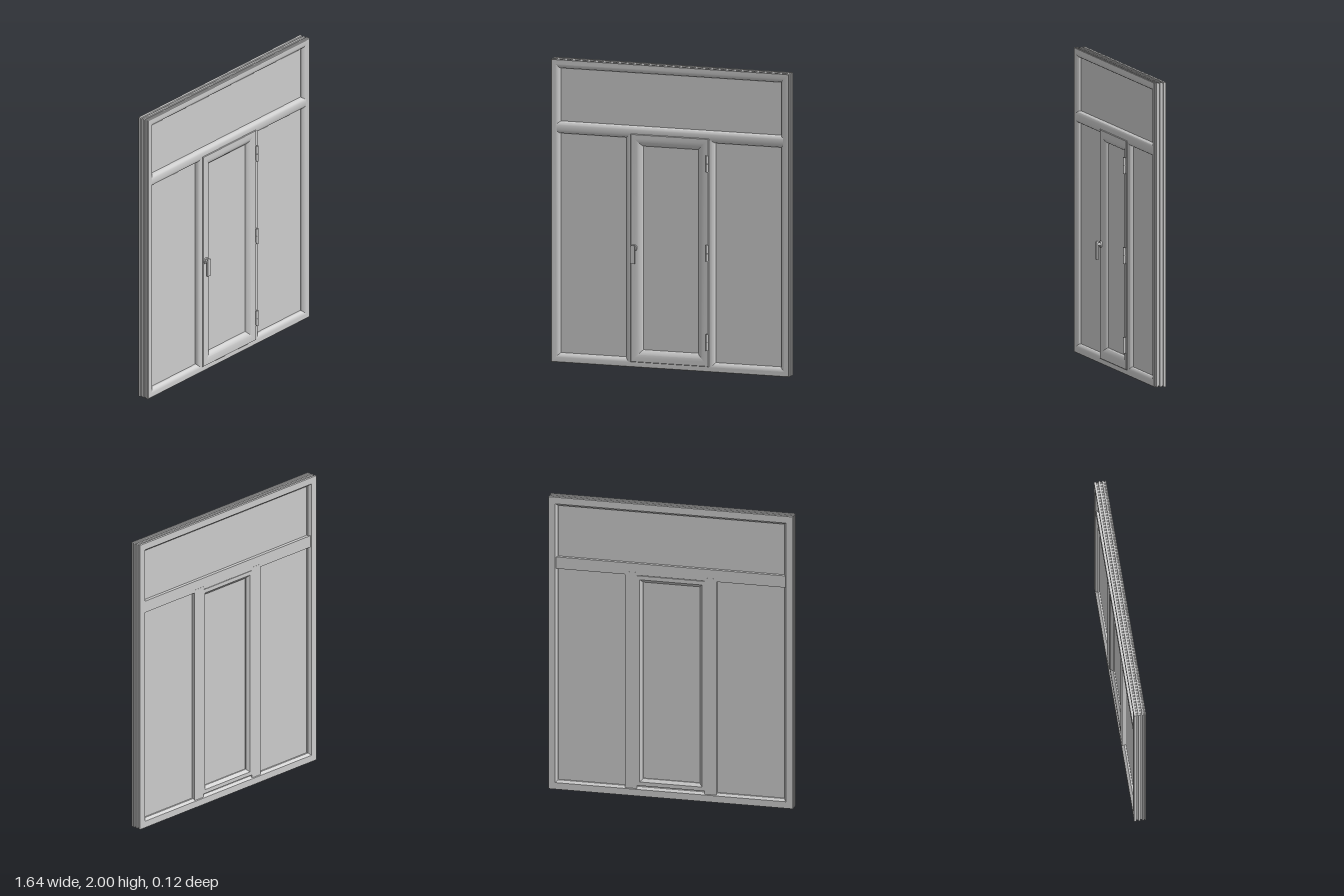
import * as THREE from 'three';
import { toCreasedNormals } from 'three/addons/utils/BufferGeometryUtils.js';

const material = new THREE.MeshStandardMaterial({ color: 0xcccccc });

function add(parent, name, geometry, x = 0, y = 0, z = 0) {
  const mesh = new THREE.Mesh(geometry, material);
  mesh.name = name;
  mesh.position.set(x, y, z);
  parent.add(mesh);
  return mesh;
}

// Closed profile of [inset, z] points swept round a rectangle with mitred corners
function mitredFrame(x0, x1, y0, y1, profile) {
  const corners = [[x0, y0, 1, 1], [x1, y0, -1, 1], [x1, y1, -1, -1], [x0, y1, 1, -1]];
  const at = ([x, y, sx, sy], [inset, z]) => [x + sx * inset, y + sy * inset, z];
  const positions = [];
  for (let c = 0; c < 4; c++) {
    const a = corners[c], b = corners[(c + 1) % 4];
    for (let i = 0; i < profile.length; i++) {
      const p = profile[i], q = profile[(i + 1) % profile.length];
      positions.push(...at(a, p), ...at(b, p), ...at(b, q));
      positions.push(...at(a, p), ...at(b, q), ...at(a, q));
    }
  }
  const geometry = new THREE.BufferGeometry();
  geometry.setAttribute('position', new THREE.Float32BufferAttribute(positions, 3));
  geometry.computeVertexNormals();
  return toCreasedNormals(geometry, 0.35);
}

// Upright bar with a symmetric section, given as its right half of [x, z] points
function bar(half, length) {
  const points = [...half, ...half.map(([x, z]) => [-x, z]).reverse()];
  const shape = new THREE.Shape(points.map(([x, z]) => new THREE.Vector2(x, -z)));
  const geometry = new THREE.ExtrudeGeometry(shape, { depth: length, bevelEnabled: false });
  geometry.rotateX(-Math.PI / 2);
  return toCreasedNormals(geometry, 0.35);
}

export function createModel() {
  const model = new THREE.Group();
  model.name = 'window';

  // Outer frame with grooves round its outside edge
  const frameProfile = [
    [0, -0.06], [0, -0.044], [0.006, -0.042], [0.006, -0.034], [0, -0.032],
    [0, -0.018], [0.006, -0.016], [0.006, -0.008], [0, -0.006],
    [0, 0.004], [0.004, 0.006], [0.004, 0.01], [0, 0.012], [0, 0.017],
    [0.003, 0.02], [0.032, 0.02], [0.043, 0.017], [0.052, 0.011], [0.058, 0.003],
    [0.06, -0.005], [0.06, -0.042], [0.045, -0.06],
  ];
  add(model, 'outerFrame', mitredFrame(-0.82, 0.82, 0, 2, frameProfile));

  // Transom and mullions, rounded on the front and flat on the back
  const barSection = [
    [0.04, -0.055], [0.04, -0.005], [0.038, 0.003], [0.033, 0.011], [0.025, 0.017], [0.016, 0.02],
  ];
  const transom = add(model, 'transom', bar(barSection, 1.56), -0.78, 1.55, 0.001);
  transom.rotation.z = -Math.PI / 2;
  for (const side of [-1, 1]) {
    add(model, side > 0 ? 'leftMullion' : 'rightMullion', bar(barSection, 1.5), side * 0.267, 0.03, 0);
  }

  // Fixed panes
  add(model, 'topPane', new THREE.BoxGeometry(1.54, 0.39, 0.022), 0, 1.77, -0.02);
  for (const side of [-1, 1]) {
    add(model, side > 0 ? 'leftPane' : 'rightPane',
      new THREE.BoxGeometry(0.48, 1.48, 0.022), side * 0.532, 0.785, -0.02);
  }

  // Opening sash, lapping over the mullions at the front
  const sash = new THREE.Group();
  sash.name = 'sash';
  model.add(sash);
  const sashProfile = [
    [0.034, -0.052], [0.034, 0.016], [0, 0.016], [0, 0.024], [0.003, 0.027],
    [0.03, 0.027], [0.05, 0.024], [0.065, 0.017], [0.075, 0.008], [0.08, -0.002],
    [0.08, -0.034], [0.06, -0.052],
  ];
  add(sash, 'sashFrame', mitredFrame(-0.27, 0.27, 0.035, 1.54, sashProfile));
  add(sash, 'sashPane', new THREE.BoxGeometry(0.4, 1.37, 0.022), 0, 0.787, -0.015);

  // Hinges: a pin barrel in two halves on a small leaf
  for (const y of [0.198, 0.787, 1.378]) {
    const hinge = new THREE.Group();
    hinge.name = 'hinge';
    hinge.position.set(0.264, y, 0);
    for (const end of [-1, 1]) {
      add(hinge, 'hingeBarrel', new THREE.CylinderGeometry(0.009, 0.009, 0.053, 16), 0, end * 0.0275, 0.04);
    }
    add(hinge, 'hingePin', new THREE.CylinderGeometry(0.006, 0.006, 0.108, 12), 0, 0, 0.04);
    add(hinge, 'hingeLeaf', new THREE.BoxGeometry(0.008, 0.1, 0.02), 0, 0, 0.03);
    sash.add(hinge);
  }

  // Handle: rose, neck and a tapering lever hanging down
  const handle = new THREE.Group();
  handle.name = 'handle';
  handle.position.set(-0.245, 0.79, 0);
  add(handle, 'handleRose', new THREE.CylinderGeometry(0.021, 0.022, 0.01, 24).rotateX(Math.PI / 2), 0, 0, 0.031);
  add(handle, 'handleNeck', new THREE.CylinderGeometry(0.011, 0.012, 0.022, 20).rotateX(Math.PI / 2), 0, 0, 0.044);
  const lever = new THREE.Shape();
  lever.moveTo(-0.015, -0.1);
  lever.lineTo(0.015, -0.1);
  lever.lineTo(0.015, 0.006);
  lever.absarc(0, 0.006, 0.015, 0, Math.PI, false);
  lever.closePath();
  const leverGeometry = new THREE.ExtrudeGeometry(lever, {
    depth: 0.006, bevelEnabled: true, bevelThickness: 0.002, bevelSize: 0.002, bevelSegments: 2,
  });
  add(handle, 'handleLever', leverGeometry, 0, 0, 0.052);
  sash.add(handle);

  return model;
}
